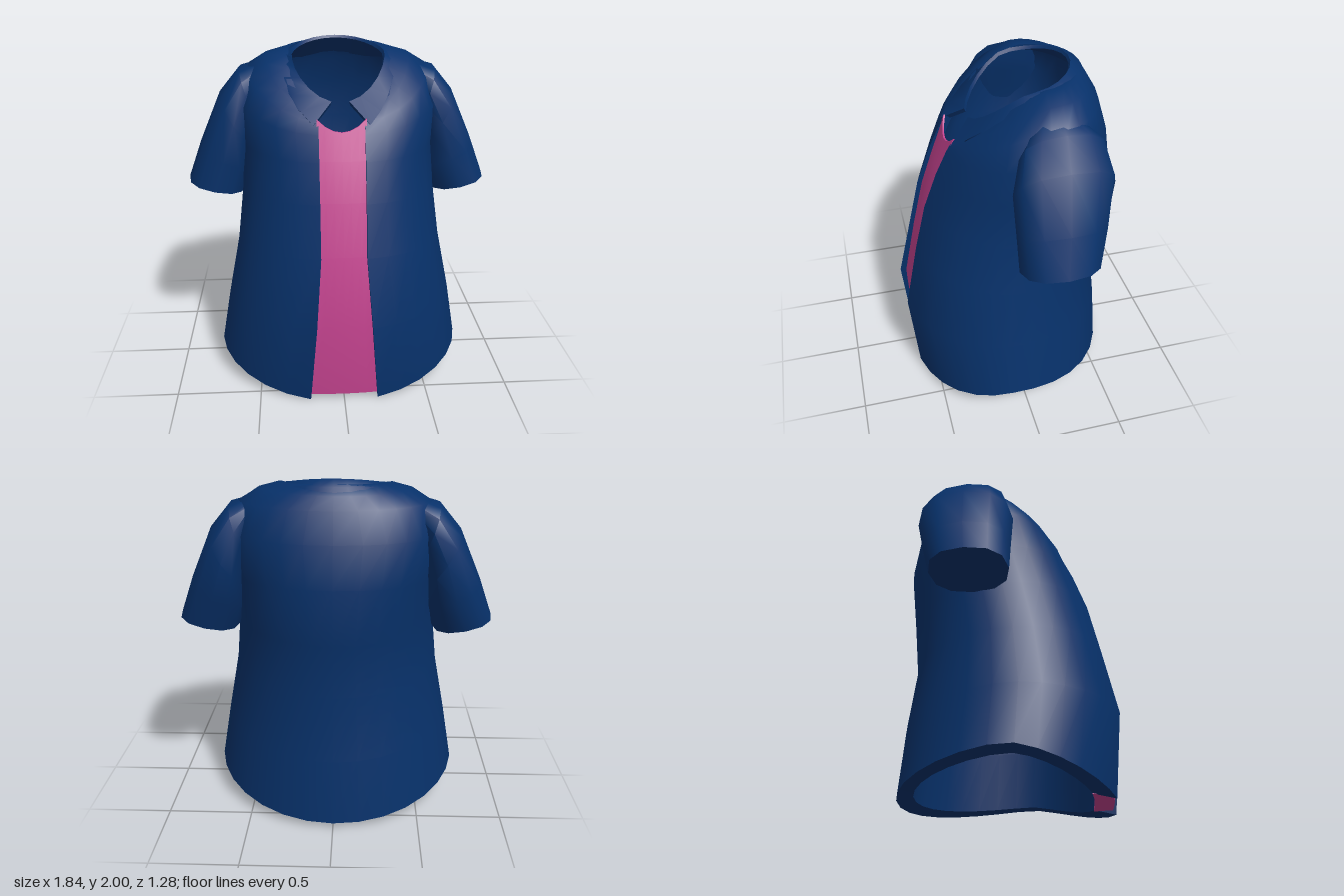
import * as THREE from 'three';
import { toCreasedNormals } from 'three/addons/utils/BufferGeometryUtils.js';

// Skins a row of closed cross-sections and caps both ends.
function loft(rows, crease = 1) {
  const n = rows[0].length, last = (rows.length - 1) * n, index = [];
  const quad = (a, b, c, d) => index.push(a, b, c, a, c, d);
  for (let i = 0; i < rows.length - 1; i++)
    for (let j = 0; j < n; j++) {
      const k = (j + 1) % n;
      quad(i * n + j, (i + 1) * n + j, (i + 1) * n + k, i * n + k);
    }
  for (let j = 0; j < n / 2 - 1; j++) {
    quad(j, j + 1, n - 2 - j, n - 1 - j);
    quad(last + n - 1 - j, last + n - 2 - j, last + j + 1, last + j);
  }
  const geo = new THREE.BufferGeometry();
  geo.setAttribute('position', new THREE.Float32BufferAttribute(rows.flat(2), 3));
  geo.setIndex(index);
  return toCreasedNormals(geo, crease);
}

const power = (v, p) => Math.sign(v) * Math.abs(v) ** p;

// Point on an open oval loop; t runs from the left front edge round the back to the right one.
// A squareness p below 1 fills out the corners of the oval.
function loopPoint([yF, yS, yB, w, zF, zS, zB, edge, p = 1], t) {
  const a0 = Math.asin((edge / w) ** (1 / p));
  const a = a0 + t * (2 * Math.PI - 2 * a0);
  const x = w * power(Math.sin(a), p), c = Math.cos(a);
  if (c < 0) return [x, yS + (yB - yS) * Math.abs(c) ** 1.4, zS + (zS - zB) * c];
  const f = c / Math.cos(a0);
  return [x, yS + (yF - yS) * f ** 1.4, zS + (zF - zS) * f];
}

const range = (n) => Array.from({ length: n + 1 }, (_, i) => i / n);

export function createModel() {
  const group = new THREE.Group();
  const blue = new THREE.MeshStandardMaterial({ color: 0x07316a });
  const pink = new THREE.MeshStandardMaterial({ color: 0xc4438f });
  blue.name = 'navy cloth';
  pink.name = 'pink cloth';
  const add = (name, geo, mat) => {
    const mesh = new THREE.Mesh(geo, mat);
    mesh.name = name;
    group.add(mesh);
  };

  // Open shirt body: yFront, ySide, yBack, halfWidth, zFront, zSide, zBack, frontEdge, squareness
  const levels = [
    [0.0, 0.16, 0.03, 0.75, 0.6, 0.07, -0.64, 0.2],
    [0.5, 0.5, 0.42, 0.69, 0.645, 0.07, -0.61, 0.16],
    [0.9, 0.85, 0.8, 0.62, 0.56, 0.03, -0.56, 0.13],
    [1.2, 1.15, 1.12, 0.585, 0.49, -0.03, -0.59, 0.13],
    [1.42, 1.42, 1.45, 0.575, 0.41, -0.11, -0.62, 0.13, 0.9],
    [1.56, 1.69, 1.68, 0.61, 0.345, -0.17, -0.565, 0.13, 0.87],
    [1.62, 1.86, 1.85, 0.545, 0.31, -0.18, -0.515, 0.13, 0.92],
    [1.635, 1.93, 1.92, 0.43, 0.29, -0.18, -0.475, 0.13],
    [1.65, 1.955, 1.975, 0.32, 0.27, -0.16, -0.43, 0.13],
  ];
  // Lining, thicker at the hem than at the neck
  const thickness = [0.09, 0.08, 0.07, 0.06, 0.05, 0.04, 0.035, 0.03, 0.02];
  const lining = levels.map(([yF, yS, yB, w, zF, zS, zB, e, p], i) => {
    const d = thickness[i], lift = i === 0 ? 0.03 : 0;
    return [yF + lift, yS - lift / 3, yB + lift, w - 1.6 * d, zF - 1.4 * d, zS, zB + d, e, p];
  });
  const bodySection = [...levels, ...lining.reverse()];
  add('shirtBody', loft(range(28).map((t) => bodySection.map((l) => loopPoint(l, t)))), blue);

  // Folded collar, its inside running down into the lining
  const collarSection = [
    [1.61, 1.935, 1.965, 0.345, 0.325, -0.16, -0.45, 0.16],
    [1.715, 1.945, 2.0, 0.28, 0.2, -0.1, -0.385, 0.05],
    [1.69, 1.925, 1.985, 0.27, 0.19, -0.1, -0.375, 0.055],
    [1.62, 1.87, 1.85, 0.43, 0.27, -0.15, -0.495, 0.13],
  ];
  add('collar', loft(range(24).map((t) => collarSection.map((l) => loopPoint(l, t)))), blue);

  // Short sleeves, cuff to shoulder: centre x, y, z, then outward half-axis x, y, and half-depth
  const sleeve = [
    [0.748, 1.14, -0.14, 0.173, 0.038, 0.223],
    [0.685, 1.325, -0.165, 0.155, 0.075, 0.25],
    [0.615, 1.55, -0.19, 0.095, 0.15, 0.28],
    [0.54, 1.715, -0.195, 0.045, 0.135, 0.235],
    [0.45, 1.8, -0.195, -0.01, 0.09, 0.14],
  ];
  for (const [side, name] of [[1, 'leftSleeve'], [-1, 'rightSleeve']]) {
    const rows = sleeve.map(([x, y, z, ux, uy, rz]) =>
      range(12).slice(0, 12).map((t) => {
        const c = power(Math.cos(t * 2 * Math.PI), 0.85), s = power(Math.sin(t * 2 * Math.PI), 0.85);
        return [side * (x + ux * c), y + uy * c, z + rz * s];
      }));
    add(name, loft(side > 0 ? rows : rows.reverse()), blue);
  }

  // Undershirt strip in the opening: y, halfWidth, z, thickness
  const strip = [
    [0.025, 0.21, 0.58, 0.11],
    [0.5, 0.17, 0.605, 0.08],
    [0.9, 0.145, 0.53, 0.07],
    [1.2, 0.14, 0.46, 0.055],
    [1.42, 0.14, 0.385, 0.035],
    [1.57, 0.14, 0.325, 0.01],
  ];
  const stripRows = range(6).map((t) => {
    const s = 2 * t - 1;
    const point = (depth) => ([y, w, z, d], i) => {
      const dip = i === 5 ? s * s : 0;
      return [s * w, y + 0.07 * dip, z + 0.01 * (1 - s * s) - 0.02 * dip - depth * d];
    };
    return [...strip.map(point(0)), ...strip.map(point(1)).reverse()];
  });
  add('undershirt', loft(stripRows), pink);

  return group;
}
